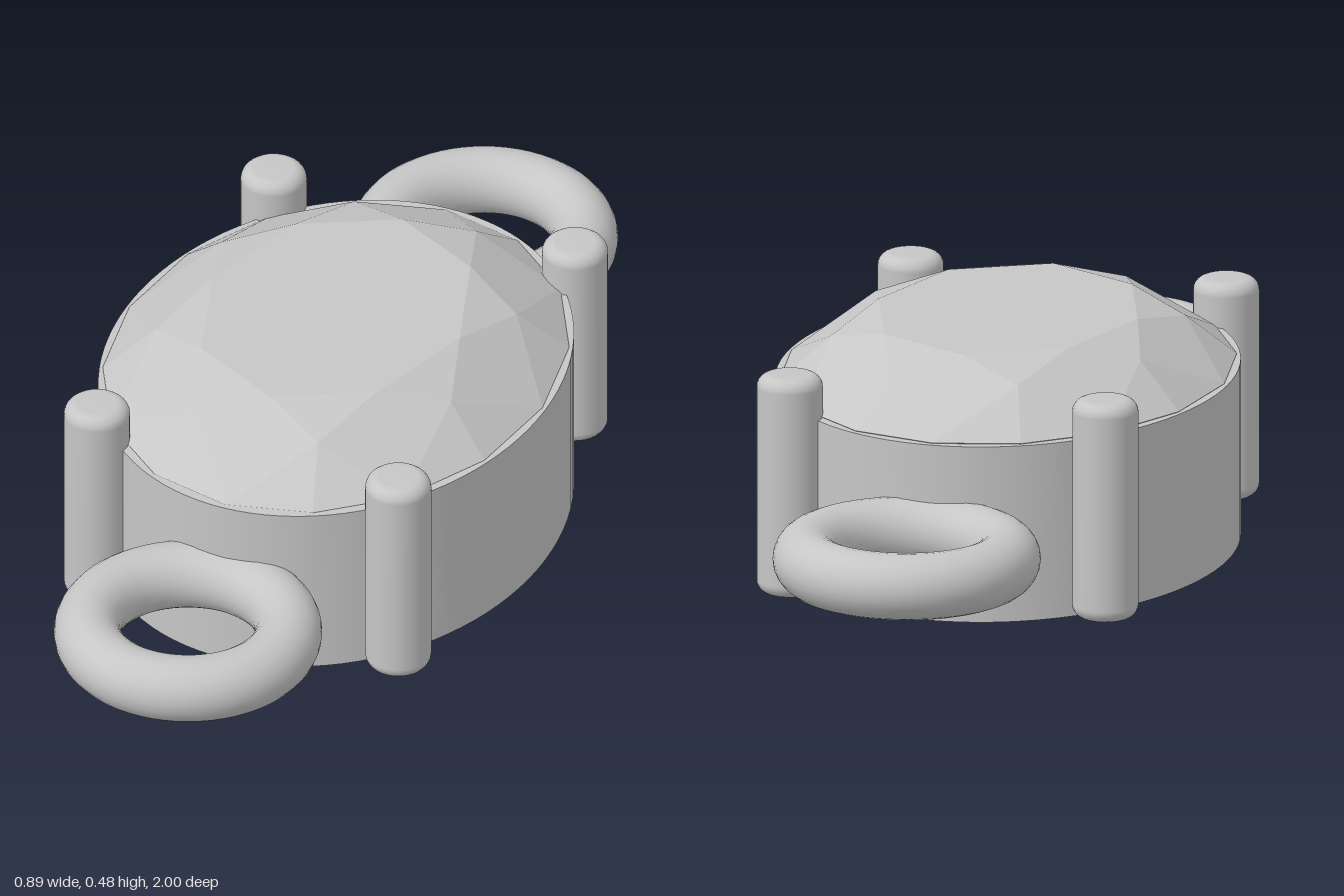
import * as THREE from 'three';
import { toCreasedNormals } from 'three/addons/utils/BufferGeometryUtils.js';

const RX = 0.447, RZ = 0.56;      // oval half-widths of the setting
const BASE = 0.005, GIRDLE = 0.363, TABLE = 0.483;

// Turns a profile of [radius, y] pairs into a lathe with sharp corners kept
function turned(profile, segments) {
  const points = profile.map(([r, y]) => new THREE.Vector2(r, y));
  return new THREE.LatheGeometry(points, segments);
}

// Oval brilliant cut: table, stars, kites, girdle facets and a pointed pavilion
function gemGeometry() {
  const point = (step, r, y) => {
    const a = step * Math.PI / 8;
    return new THREE.Vector3(Math.sin(a) * r * RX, y, Math.cos(a) * r * RZ);
  };
  const centre = new THREE.Vector3(0, 0.33, 0);
  const positions = [];
  const face = (a, b, c) => {
    const normal = b.clone().sub(a).cross(c.clone().sub(a));
    const outward = normal.dot(a.clone().sub(centre)) > 0;
    for (const p of outward ? [a, b, c] : [a, c, b]) positions.push(p.x, p.y, p.z);
  };
  const rim = 0.985;
  const top = new THREE.Vector3(0, TABLE, 0);
  const tip = new THREE.Vector3(0, 0, 0);
  for (let i = 0; i < 16; i += 2) {
    const t0 = point(i, 0.59, TABLE), t1 = point(i + 2, 0.59, TABLE);
    const m0 = point(i - 1, 0.763, 0.449), m1 = point(i + 1, 0.763, 0.449);
    const g0 = point(i, rim, GIRDLE + 0.002);
    const g1 = point(i + 1, rim, GIRDLE + 0.002);
    const g2 = point(i + 2, rim, GIRDLE + 0.002);
    face(top, t0, t1);
    face(t0, t1, m1);
    face(t0, m0, g0);
    face(t0, m1, g0);
    face(m1, g0, g1);
    face(m1, g1, g2);
    face(tip, g0, g1);
    face(tip, g1, g2);
  }
  const geometry = new THREE.BufferGeometry();
  geometry.setAttribute('position', new THREE.Float32BufferAttribute(positions, 3));
  geometry.computeVertexNormals();
  return geometry;
}

export function createModel() {
  const model = new THREE.Group();
  model.name = 'ovalGemConnector';
  const silver = new THREE.MeshStandardMaterial({ color: 0xc6c6c6 });
  silver.name = 'silver grey';

  const add = (name, geometry, x = 0, y = 0, z = 0) => {
    const mesh = new THREE.Mesh(geometry, silver);
    mesh.name = name;
    mesh.position.set(x, y, z);
    model.add(mesh);
    return mesh;
  };

  // Hollow oval band around the stone
  const band = turned([
    [0.82, BASE], [1, BASE], [1, GIRDLE], [0.96, GIRDLE],
    [0.82, 0.29], [0.8, 0.2], [0.8, 0.03], [0.82, BASE],
  ], 96);
  band.scale(RX, 1, RZ);
  add('bezel', toCreasedNormals(band, 0.6));

  add('gem', gemGeometry());

  // Round-ended prongs at the four corners
  const radius = 0.065, bevel = 0.026, height = 0.45;
  const profile = [[0, BASE]];
  for (let i = 0; i <= 6; i++) {
    const a = i / 6 * Math.PI / 2;
    profile.push([radius - bevel + bevel * Math.sin(a), BASE + bevel - bevel * Math.cos(a)]);
  }
  for (let i = 0; i <= 6; i++) {
    const a = i / 6 * Math.PI / 2;
    profile.push([radius - bevel + bevel * Math.cos(a), height - bevel + bevel * Math.sin(a)]);
  }
  profile.push([0, height]);
  const prong = turned(profile, 32);

  // Flat-lying rings at the front and back
  const ring = new THREE.TorusGeometry(0.197, 0.066, 24, 64);
  ring.rotateX(Math.PI / 2);

  for (const [end, z] of [['front', 1], ['back', -1]]) {
    add(end + 'Ring', ring, 0, 0.182, z * 0.737);
    for (const [side, x] of [['Left', 1], ['Right', -1]]) {
      add(end + side + 'Prong', prong, x * 0.321, 0, z * 0.44);
    }
  }
  return model;
}
